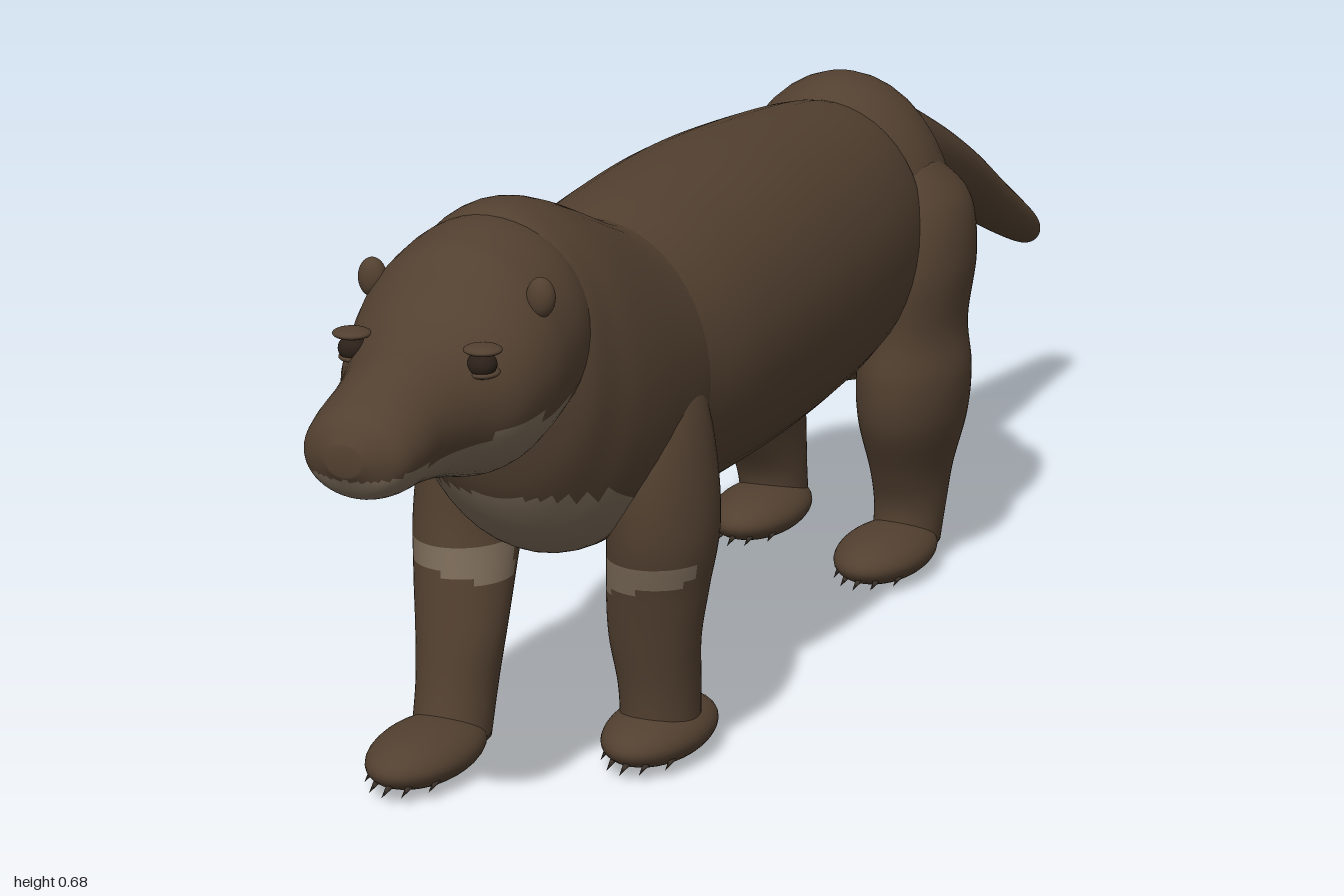
import * as THREE from 'three';

const mat = (name, color) => Object.assign(new THREE.MeshStandardMaterial({ color }), { name });

// Smooth skin through elliptical sections [x, y, z, ra, rb], in ascending order along the axis.
// paint(x, y, z) is true where a face takes the second material.
function loft(sections, axis, paint = () => false) {
  const SIDES = 48, STEPS = 8;
  const path = new THREE.CatmullRomCurve3(sections.map(s => new THREE.Vector3(s[0], s[1], s[2])), false, 'catmullrom', 0.5);
  const size = new THREE.CatmullRomCurve3(sections.map(s => new THREE.Vector3(s[3], s[4], 0)), false, 'catmullrom', 0.5);
  const rows = (sections.length - 1) * STEPS, pos = [], base = [], accent = [];
  for (let i = 0; i <= rows; i++) {
    const p = path.getPoint(i / rows), r = size.getPoint(i / rows);
    for (let j = 0; j < SIDES; j++) {
      const t = j / SIDES * Math.PI * 2, c = Math.cos(t), s = Math.sin(t);
      if (axis === 'z') pos.push(p.x + r.x * c, p.y + r.y * s, p.z);
      else pos.push(p.x + r.x * s, p.y, p.z + r.y * c);
    }
  }
  const first = sections[0], last = sections[sections.length - 1], cap = (rows + 1) * SIDES;
  pos.push(...first.slice(0, 3), ...last.slice(0, 3));
  const face = (...ids) => {
    const mid = k => ids.reduce((sum, id) => sum + pos[id * 3 + k], 0) / ids.length;
    const list = paint(mid(0), mid(1), mid(2)) ? accent : base;
    for (let k = 1; k < ids.length - 1; k++) list.push(ids[0], ids[k], ids[k + 1]);
  };
  for (let j = 0; j < SIDES; j++) {
    const n = (j + 1) % SIDES;
    for (let i = 0; i < rows; i++)
      face(i * SIDES + j, i * SIDES + n, (i + 1) * SIDES + n, (i + 1) * SIDES + j);
    face(cap, n, j);
    face(cap + 1, rows * SIDES + j, rows * SIDES + n);
  }
  const geo = new THREE.BufferGeometry();
  geo.setAttribute('position', new THREE.Float32BufferAttribute(pos, 3));
  geo.setIndex([...base, ...accent]);
  geo.addGroup(0, base.length, 0);
  geo.addGroup(base.length, accent.length, 1);
  geo.computeVertexNormals();
  return geo;
}

// Side profile [z, top, bottom, half width] to sections
const profile = rows => rows.map(([z, top, bot, w]) => [0, (top + bot) / 2, z, w, (top - bot) / 2]);

export function createModel() {
  const group = new THREE.Group();
  group.name = 'animal';
  const fur = mat('brown fur', 0x524030);
  const pale = mat('pale fur', 0x7a6a58);
  const dark = mat('dark eye', 0x2c2119);
  const horn = mat('claw horn', 0x3a3028);
  const coat = [fur, pale];

  const add = (name, geo, material, parent = group) => {
    const mesh = new THREE.Mesh(geo, material);
    mesh.name = name;
    parent.add(mesh);
    return mesh;
  };
  const ball = (name, material, [x, y, z], [rx, ry, rz], parent = group) => {
    const mesh = add(name, new THREE.SphereGeometry(1, 32, 20), material, parent);
    mesh.position.set(x, y, z);
    mesh.scale.set(rx, ry, rz);
    return mesh;
  };

  // Trunk and tail
  add('torso', loft(profile([
    [-0.3, 0.58, 0.28, 0.12], [-0.25, 0.6, 0.268, 0.143], [-0.1, 0.618, 0.252, 0.165],
    [0.1, 0.63, 0.245, 0.175], [0.3, 0.622, 0.25, 0.17], [0.43, 0.605, 0.265, 0.15],
  ]), 'z'), coat);
  ball('rump', fur, [0, 0.42, -0.325], [0.147, 0.2, 0.137]);
  add('tail', loft(profile([
    [-1, 0.262, 0.242, 0.012], [-0.985, 0.285, 0.234, 0.026], [-0.85, 0.365, 0.288, 0.036],
    [-0.73, 0.435, 0.345, 0.044], [-0.6, 0.5, 0.392, 0.054], [-0.47, 0.555, 0.425, 0.062],
    [-0.4, 0.56, 0.43, 0.06],
  ]), 'z'), coat);

  // Neck and chest with a pale bib
  add('neckAndChest', loft(profile([
    [0.36, 0.6, 0.265, 0.145], [0.43, 0.617, 0.255, 0.153], [0.52, 0.655, 0.252, 0.153],
    [0.58, 0.677, 0.272, 0.146], [0.62, 0.684, 0.308, 0.134], [0.655, 0.68, 0.36, 0.12],
    [0.68, 0.66, 0.43, 0.09],
  ]), 'z', (x, y, z) => z > 0.54 && y < 0.355 && Math.abs(x) < 0.12), coat);

  // Head with a pale lower jaw
  add('head', loft(profile([
    [0.6, 0.655, 0.45, 0.1], [0.66, 0.675, 0.43, 0.118], [0.72, 0.667, 0.413, 0.122],
    [0.755, 0.652, 0.41, 0.119], [0.8, 0.612, 0.422, 0.108], [0.85, 0.588, 0.434, 0.084],
    [0.9, 0.572, 0.44, 0.07], [0.95, 0.553, 0.443, 0.066], [0.98, 0.537, 0.453, 0.055],
    [1, 0.512, 0.48, 0.02],
  ]), 'z', (x, y, z) => z > 0.65 && y < 0.475 + 0.2 * Math.max(0, Math.abs(x) - 0.03)), coat);

  for (const side of [-1, 1]) {
    const label = side > 0 ? 'left' : 'right';
    // Ears and eyes
    ball(label + 'Ear', fur, [side * 0.1, 0.615, 0.74], [0.016, 0.022, 0.014]);
    ball(label + 'Eye', dark, [side * 0.076, 0.564, 0.832], [0.016, 0.014, 0.016]);
    ball(label + 'EyeLid', fur, [side * 0.077, 0.58, 0.832], [0.021, 0.006, 0.02]);
    ball(label + 'LowerLid', fur, [side * 0.076, 0.554, 0.828], [0.017, 0.006, 0.019]);

    // Legs: [height, x, z, half width, half depth], with the stride fading out upwards
    const leg = (name, rows, stride, footZ, paint) => {
      const part = new THREE.Group();
      part.name = label + name;
      group.add(part);
      const sections = rows.map(([y, x, z, rx, rz]) =>
        [side * x, y, z + stride * Math.max(0, 1 - y / 0.3), rx, rz]);
      add('leg', loft(sections, 'y', paint), coat, part);
      ball('foot', fur, [side * 0.106, 0.034, footZ], [0.058, 0.032, 0.1], part);
      for (let i = -2; i <= 2; i++) {
        const claw = add('claw', new THREE.ConeGeometry(0.006, 0.032, 8), horn, part);
        claw.position.set(side * 0.106 + i * 0.02, 0.02, footZ + 0.095 - 0.009 * i * i);
        claw.rotation.x = Math.PI / 2 + 0.35;
      }
    };
    const forward = side < 0;
    leg('FrontLeg', [
      [0.03, 0.106, 0.455, 0.045, 0.05], [0.09, 0.107, 0.46, 0.047, 0.05],
      [0.15, 0.107, 0.472, 0.053, 0.05], [0.21, 0.112, 0.475, 0.058, 0.06],
      [0.28, 0.119, 0.474, 0.061, 0.077], [0.36, 0.115, 0.47, 0.058, 0.08],
      [0.43, 0.105, 0.46, 0.05, 0.065], [0.48, 0.1, 0.45, 0.02, 0.03],
    ], forward ? 0.12 : 0, forward ? 0.625 : 0.458,
    (x, y, z) => z > 0.5 && y > 0.225 - 0.2 * (0.13 - Math.abs(x)) && y < 0.25);
    leg('HindLeg', [
      [0.03, 0.108, -0.29, 0.042, 0.05], [0.08, 0.11, -0.297, 0.045, 0.052],
      [0.13, 0.112, -0.295, 0.05, 0.07], [0.2, 0.118, -0.283, 0.064, 0.095],
      [0.26, 0.12, -0.28, 0.067, 0.1], [0.32, 0.118, -0.287, 0.06, 0.098],
      [0.4, 0.112, -0.3, 0.071, 0.11], [0.47, 0.105, -0.315, 0.064, 0.095],
      [0.52, 0.1, -0.32, 0.025, 0.04],
    ], forward ? -0.09 : 0, forward ? -0.32 : -0.225);
  }
  return group;
}
